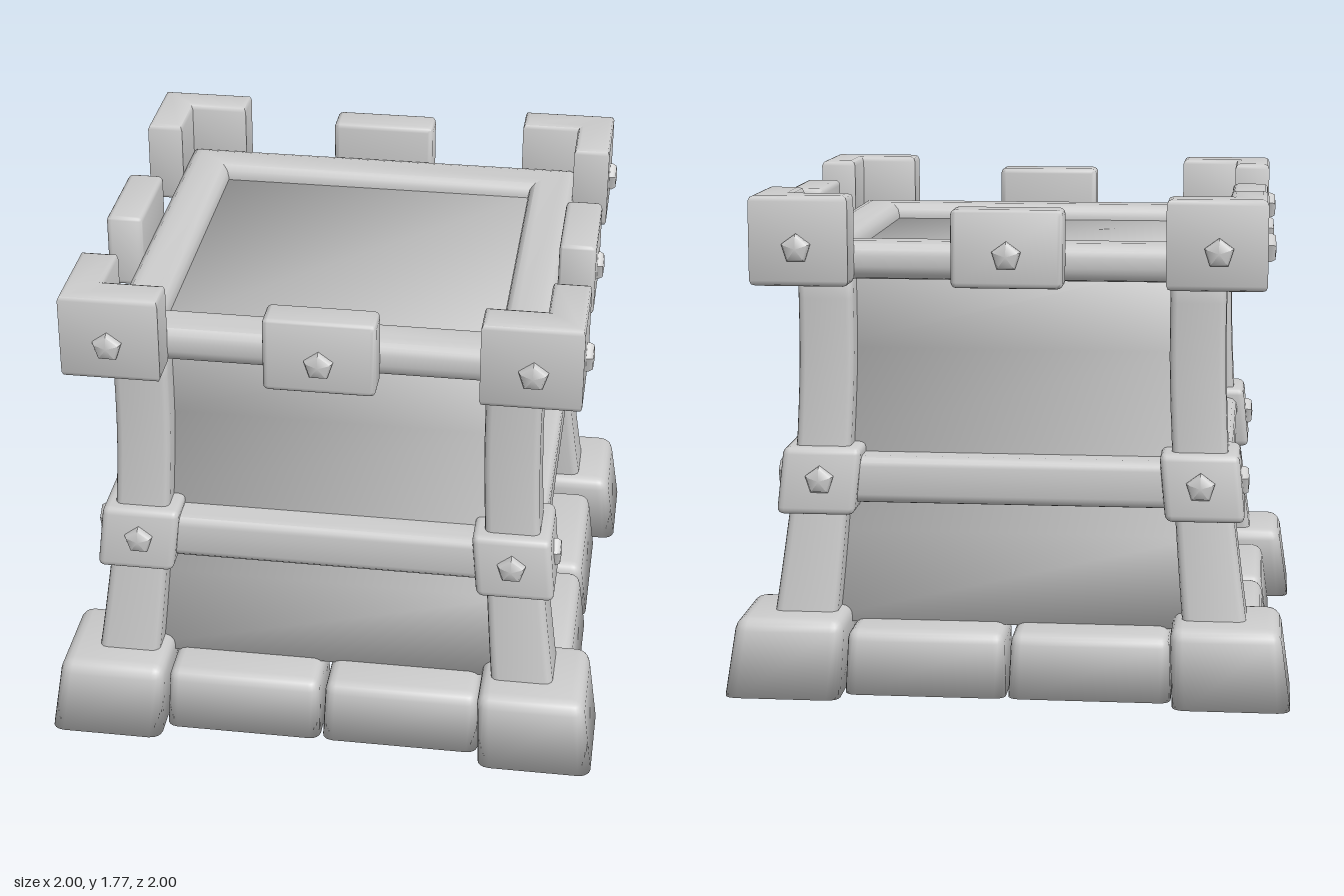
import * as THREE from 'three';
import { toCreasedNormals } from 'three/addons/utils/BufferGeometryUtils.js';
import { RoundedBoxGeometry } from 'three/addons/geometries/RoundedBoxGeometry.js';

const material = new THREE.MeshStandardMaterial({ color: 0xcccccc });

function part(name, geometry) {
  const mesh = new THREE.Mesh(geometry, material);
  mesh.name = name;
  return mesh;
}

// Move every vertex by a rule, then rebuild the normals (fully smooth by default).
function reshape(geometry, rule, crease = Math.PI) {
  const p = geometry.attributes.position;
  const v = new THREE.Vector3();
  for (let i = 0; i < p.count; i++) {
    rule(v.fromBufferAttribute(p, i));
    p.setXYZ(i, v.x, v.y, v.z);
  }
  return toCreasedNormals(geometry, crease);
}

// Box with rounded edges between two corners.
function block(x0, x1, y0, y1, z0, z1, radius) {
  return new RoundedBoxGeometry(x1 - x0, y1 - y0, z1 - z0, 2, radius)
    .translate((x0 + x1) / 2, (y0 + y1) / 2, (z0 + z1) / 2);
}

// Square hoop with a rounded cross-section, revolved in four sides.
function hoop(inner, outer, y0, y1, r) {
  const profile = [];
  const corners = [[outer - r, y0 + r], [outer - r, y1 - r], [inner + r, y1 - r], [inner + r, y0 + r]];
  corners.forEach(([h, y], i) => {
    for (let k = 0; k <= 3; k++) {
      const a = (i - 1 + k / 3) * Math.PI / 2;
      profile.push(new THREE.Vector2((h + r * Math.cos(a)) * Math.SQRT2, y + r * Math.sin(a)));
    }
  });
  profile.push(profile[0]);
  return toCreasedNormals(new THREE.LatheGeometry(profile, 4, Math.PI / 4), 0.7);
}

// Extrude a plan outline upwards with softened edges.
function extrudeUp(points, y0, y1, bevel, steps = 1) {
  const shape = new THREE.Shape(points.map(([x, z]) => new THREE.Vector2(x, -z)));
  return new THREE.ExtrudeGeometry(shape, {
    depth: y1 - y0 - 2 * bevel, steps, bevelEnabled: true, bevelSegments: 2,
    bevelSize: bevel, bevelThickness: bevel, bevelOffset: -bevel,
  }).rotateX(-Math.PI / 2).translate(0, y0 + bevel, 0);
}

// Five-sided stud facing +z.
function stud(x, y, z) {
  const profile = [[0.053, -0.02], [0.053, 0.012], [0.045, 0.026], [0, 0.03]];
  const g = new THREE.LatheGeometry(profile.map(([r, h]) => new THREE.Vector2(r, h)), 5);
  return toCreasedNormals(g.rotateX(Math.PI / 2).rotateZ(Math.PI).translate(x, y, z), 1.1);
}

// Half width of the tower at a given height; walls and corner posts follow it.
const flareTable = new THREE.SplineCurve([
  [0.1, 0.752], [0.28, 0.728], [0.63, 0.69], [0.87, 0.67], [1.2, 0.657], [1.6, 0.659],
].map(([y, c]) => new THREE.Vector2(y, c))).getPoints(200);

function flare(y) {
  return flareTable.find((p) => p.x >= y).y;
}

// Corner post, bending outwards and thickening towards its foot.
function cornerPost() {
  const w = 0.098, c = 0.025;
  const outline = [];
  [[1, 1], [-1, 1], [-1, -1], [1, -1]].forEach(([sx, sz], i) => {
    for (let k = 0; k <= 3; k++) {
      const a = (i + k / 3) * Math.PI / 2;
      outline.push([sx * (w - c) + c * Math.cos(a), sz * (w - c) + c * Math.sin(a)]);
    }
  });
  return reshape(extrudeUp(outline, 0.12, 1.5, 0.005, 14), (v) => {
    const s = flare(v.y);
    const k = 1 + 0.15 * Math.max(0, (0.85 - v.y) / 0.57);
    v.x = v.x * k + s;
    v.z = v.z * k + s;
  }, 0.7);
}

// Everything on one side and the corner at its end.
function createSide() {
  const side = new THREE.Group();
  side.name = 'side';

  side.add(part('cornerPost', cornerPost()));

  // Foot stones lean inwards and are cut flat on the ground.
  side.add(part('cornerFootStone', reshape(block(0.587, 1, -0.05, 0.28, 0.587, 1, 0.045), (v) => {
    v.y = Math.max(v.y, 0);
    const t = v.y / 0.28;
    v.x -= t * (v.x > 0.79 ? 0.04 : 0.012);
    v.z -= t * (v.z > 0.79 ? 0.04 : 0.012);
  })));
  for (const s of [-1, 1]) {
    const x = s * 0.292;
    side.add(part('footStone', reshape(block(x - 0.288, x + 0.288, -0.05, 0.23, 0.59, 0.92, 0.04), (v) => {
      v.y = Math.max(v.y, 0);
      const t = v.y / 0.23;
      v.x -= t * (v.x - x) * 0.03;
      v.z -= t * (v.z > 0.75 ? 0.03 : 0);
    })));
  }

  // Joint where the middle band meets the post.
  side.add(part('bandJoint', reshape(block(0.54, 0.82, 0.63, 0.87, 0.54, 0.82, 0.025), (v) => {
    const d = (v.y - 0.75) * 0.1;
    v.x -= d;
    v.z -= d;
  })));

  // L-shaped corner battlement and the middle one.
  const corner = [[0.897, 0.897], [0.897, 0.55], [0.763, 0.55], [0.763, 0.763], [0.55, 0.763], [0.55, 0.897]];
  side.add(part('cornerBattlement', toCreasedNormals(extrudeUp(corner, 1.457, 1.773, 0.02), 1.2)));
  side.add(part('middleBattlement', toCreasedNormals(block(-0.195, 0.195, 1.457, 1.73, 0.76, 0.893, 0.02), Math.PI)));

  // Studs on this face.
  for (const s of [-1, 1]) {
    side.add(part('battlementStud', stud(s * 0.73, 1.59, 0.895)));
    side.add(part('jointStud', stud(s * 0.675, 0.755, 0.815)));
  }
  side.add(part('middleStud', stud(0, 1.57, 0.888)));
  return side;
}

export function createModel() {
  const tower = new THREE.Group();
  tower.name = 'tower';

  // Smooth flared body, closed just under the rim and above the ground.
  const body = new THREE.BoxGeometry(2, 1.32, 2, 1, 4, 1).translate(0, 0.88, 0);
  tower.add(part('wall', reshape(body, (v) => {
    const s = flare(v.y);
    v.x *= s;
    v.z *= s;
  })));
  tower.add(part('roofRim', hoop(0.59, 0.768, 1.465, 1.6, 0.05)));
  tower.add(part('middleBand', hoop(0.62, 0.783, 0.665, 0.835, 0.035)));

  for (let i = 0; i < 4; i++) {
    const side = createSide();
    side.rotation.y = i * Math.PI / 2;
    tower.add(side);
  }
  return tower;
}
